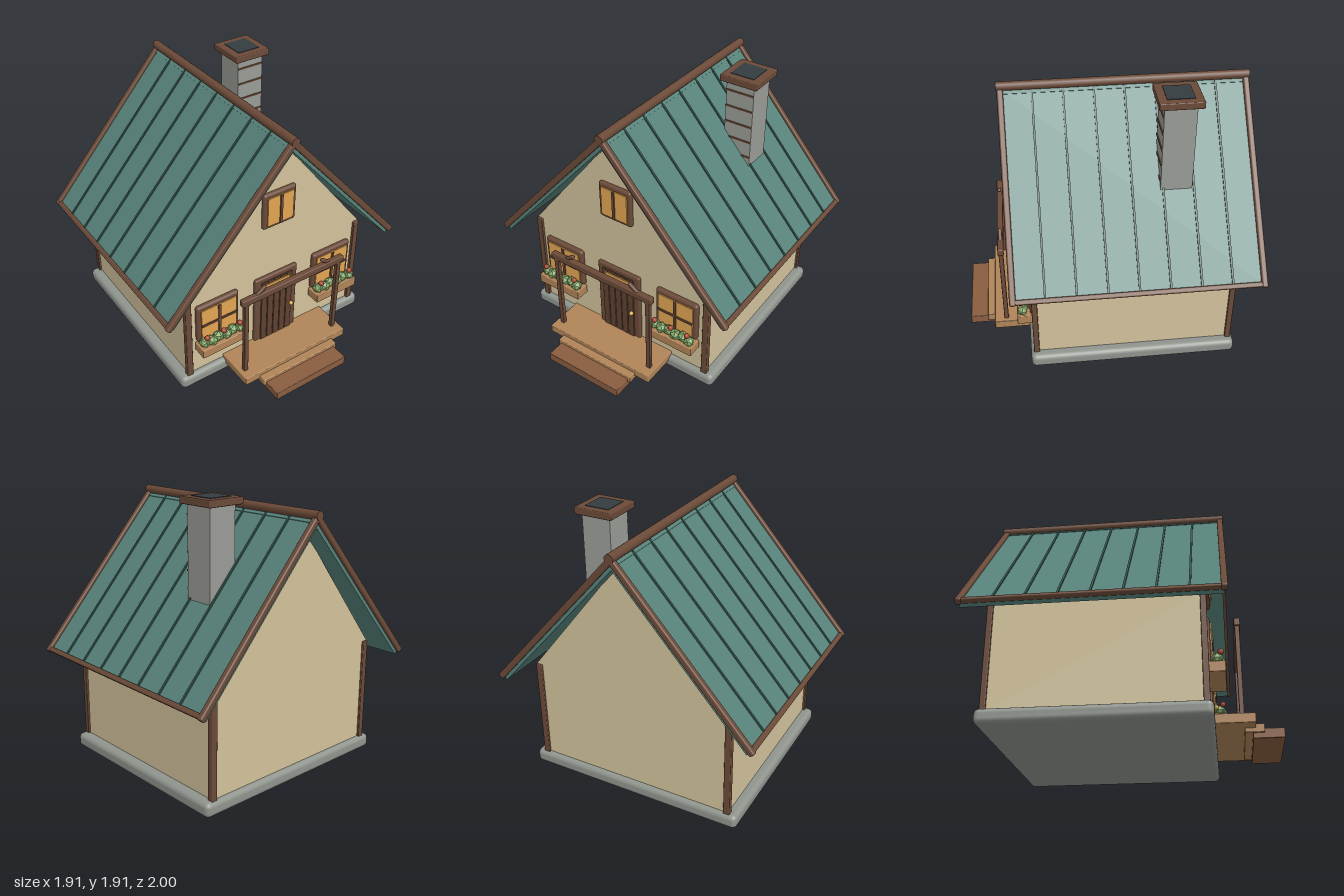
import * as THREE from 'three';
import { RoundedBoxGeometry } from 'three/addons/geometries/RoundedBoxGeometry.js';

const paint = (color, flatShading = false) => new THREE.MeshStandardMaterial({ color, flatShading });
const M = {
  wall: paint(0xd3c39c), stone: paint(0x8f948d), brick: paint(0x9a9c96), roof: paint(0x57827a),
  seam: paint(0x36564f), trim: paint(0x6b4a38), plank: paint(0x5f4130), deck: paint(0xb08458),
  step: paint(0x8a5d40), glass: paint(0xe2a552), flue: paint(0x343c40), brass: paint(0xd9b04c),
  leaf: paint(0x86ab6a, true), flower: paint(0xa8442f),
};

function add(parent, name, geometry, material, x = 0, y = 0, z = 0) {
  const mesh = new THREE.Mesh(geometry, material);
  mesh.name = name;
  mesh.position.set(x, y, z);
  parent.add(mesh);
  return mesh;
}

// Box given by its extents on each axis; r rounds the edges
function box(parent, name, material, [x0, x1], [y0, y1], [z0, z1], r = 0) {
  const size = [x1 - x0, y1 - y0, z1 - z0];
  const geo = r ? new RoundedBoxGeometry(...size, 3, r) : new THREE.BoxGeometry(...size);
  return add(parent, name, geo, material, (x0 + x1) / 2, (y0 + y1) / 2, (z0 + z1) / 2);
}

function group(parent, name, x = 0, y = 0, z = 0) {
  const g = new THREE.Group();
  g.name = name;
  g.position.set(x, y, z);
  parent.add(g);
  return g;
}

const MID = -0.155; // middle of the house in z

function buildBody(house) {
  box(house, 'foundation', M.stone, [-0.795, 0.795], [0, 0.1], [-0.87, 0.57], 0.035);
  box(house, 'walls', M.wall, [-0.725, 0.725], [0.09, 0.83], [-0.835, 0.53]);
  const tri = new THREE.Shape([[-0.738, 0.828], [0.738, 0.828], [0, 1.755]].map(p => new THREE.Vector2(...p)));
  add(house, 'gable', new THREE.ExtrudeGeometry(tri, { depth: 1.375, bevelEnabled: false }), M.wall, 0, 0, -0.84);
  for (const x of [-0.718, 0.718])
    for (const z of [-0.83, 0.53])
      box(house, 'cornerPost', M.trim, [x - 0.023, x + 0.023], [0.09, 0.825], [z - 0.02, z + 0.02], 0.006);
}

function buildRoof(house) {
  const roof = group(house, 'roof', 0, 1.8, MID);
  const L = Math.hypot(0.93, 1.045);
  for (const turn of [0, Math.PI]) {
    const side = group(roof, 'roofSide');
    side.rotation.y = turn;
    const slope = group(side, 'roofSlope');
    slope.rotation.z = -Math.atan2(1.045, 0.93);
    // Local x runs down the slope, local y points out of it
    box(slope, 'roofPanel', M.roof, [0, L + 0.005], [-0.045, 0], [-0.82, 0.82]);
    for (let i = -3; i <= 3; i++)
      box(slope, 'roofSeam', M.seam, [0.01, L - 0.01], [-0.004, 0.009], [i * 0.204 - 0.007, i * 0.204 + 0.007]);
    for (const z of [-0.82, 0.82])
      box(slope, 'bargeBoard', M.trim, [0, L + 0.02], [-0.022, 0.022], [z - 0.021, z + 0.021], 0.012);
    box(slope, 'eaveTrim', M.trim, [L - 0.02, L + 0.015], [-0.018, 0.018], [-0.84, 0.84], 0.01);
  }
  const ridge = add(roof, 'ridgePole', new THREE.CylinderGeometry(0.031, 0.031, 1.69, 16), M.trim, 0, 0.012, 0);
  ridge.rotation.x = Math.PI / 2;
}

function buildChimney(house) {
  const g = group(house, 'chimney', 0.385, 0, -0.445);
  box(g, 'chimneyStack', M.brick, [-0.105, 0.105], [1.05, 1.87], [-0.105, 0.105]);
  for (let i = 0; i < 6; i++) {
    const y = 1.2 + i * 0.119;
    box(g, 'brickCourse', M.trim, [-0.105, 0.105], [y - 0.006, y + 0.006], [0.1, 0.112]);
  }
  box(g, 'chimneyCap', M.trim, [-0.14, 0.14], [1.862, 1.91], [-0.143, 0.143], 0.006);
  box(g, 'flue', M.flue, [-0.088, 0.088], [1.88, 1.914], [-0.09, 0.09]);
}

function buildDoor(house) {
  const g = group(house, 'door');
  box(g, 'doorFrame', M.trim, [-0.18, 0.18], [0.11, 0.69], [0.51, 0.555], 0.015);
  for (let i = -2; i <= 2; i++)
    box(g, 'doorPlank', M.plank, [i * 0.054 - 0.025, i * 0.054 + 0.025], [0.12, 0.655], [0.54, 0.565], 0.004);
  box(g, 'doorGlass', M.glass, [-0.105, 0.105], [0.535, 0.635], [0.55, 0.572]);
  add(g, 'doorKnob', new THREE.SphereGeometry(0.016, 16, 12), M.brass, 0.123, 0.36, 0.578);
}

function buildWindow(parent, name, x, [y0, y1], w, barY) {
  const g = group(parent, name, x);
  box(g, 'windowFrame', M.trim, [-w, w], [y0, y1], [0.51, 0.562], 0.02);
  box(g, 'windowGlass', M.glass, [-w + 0.028, w - 0.028], [y0 + 0.03, y1 - 0.03], [0.55, 0.57]);
  box(g, 'windowBar', M.trim, [-0.009, 0.009], [y0 + 0.03, y1 - 0.03], [0.55, 0.58]);
  if (barY) box(g, 'windowBar', M.trim, [-w + 0.028, w - 0.028], [barY - 0.008, barY + 0.008], [0.55, 0.578]);
}

function buildFlowerBox(house, x) {
  const g = group(house, 'flowerBox', x);
  box(g, 'planter', M.deck, [-0.182, 0.182], [0.315, 0.385], [0.54, 0.65], 0.006);
  for (let i = 0; i < 6; i++) {
    const leaf = add(g, 'foliage', new THREE.IcosahedronGeometry(0.04, 0), M.leaf,
      -0.142 + i * 0.057, 0.41, 0.6 + (i % 2) * 0.012);
    leaf.rotation.set(i * 0.5, i * 1.1, i * 0.3);
  }
  for (const dx of [-0.132, 0, 0.132])
    add(g, 'flower', new THREE.IcosahedronGeometry(0.02, 1), M.flower, dx, 0.462, 0.622);
}

function buildPorch(house) {
  const g = group(house, 'porch');
  box(g, 'porchDeck', M.deck, [-0.44, 0.44], [0.062, 0.125], [0.52, 0.82], 0.006);
  box(g, 'upperStep', M.deck, [-0.323, 0.323], [0.035, 0.09], [0.75, 0.875], 0.006);
  box(g, 'lowerStep', M.step, [-0.303, 0.303], [0, 0.065], [0.8, 1], 0.005);
  box(g, 'porchBeam', M.trim, [-0.427, 0.427], [0.73, 0.782], [0.715, 0.757], 0.008);
  for (const s of [-1, 1]) {
    box(g, 'porchPost', M.trim, [s * 0.39 - 0.017, s * 0.39 + 0.017], [0.12, 0.75], [0.72, 0.752], 0.005);
    const brace = add(g, 'porchBrace', new RoundedBoxGeometry(0.18, 0.026, 0.026, 2, 0.009), M.trim, s * 0.308, 0.77, 0.736);
    brace.rotation.z = -s * 0.6;
  }
}

export function createModel() {
  const house = new THREE.Group();
  house.name = 'cottage';
  buildBody(house);
  buildRoof(house);
  buildChimney(house);
  buildDoor(house);
  buildWindow(house, 'atticWindow', 0, [1.113, 1.392], 0.132);
  for (const x of [-0.49, 0.49]) {
    buildWindow(house, 'frontWindow', x, [0.38, 0.692], 0.168, 0.53);
    buildFlowerBox(house, x);
  }
  buildPorch(house);
  return house;
}
